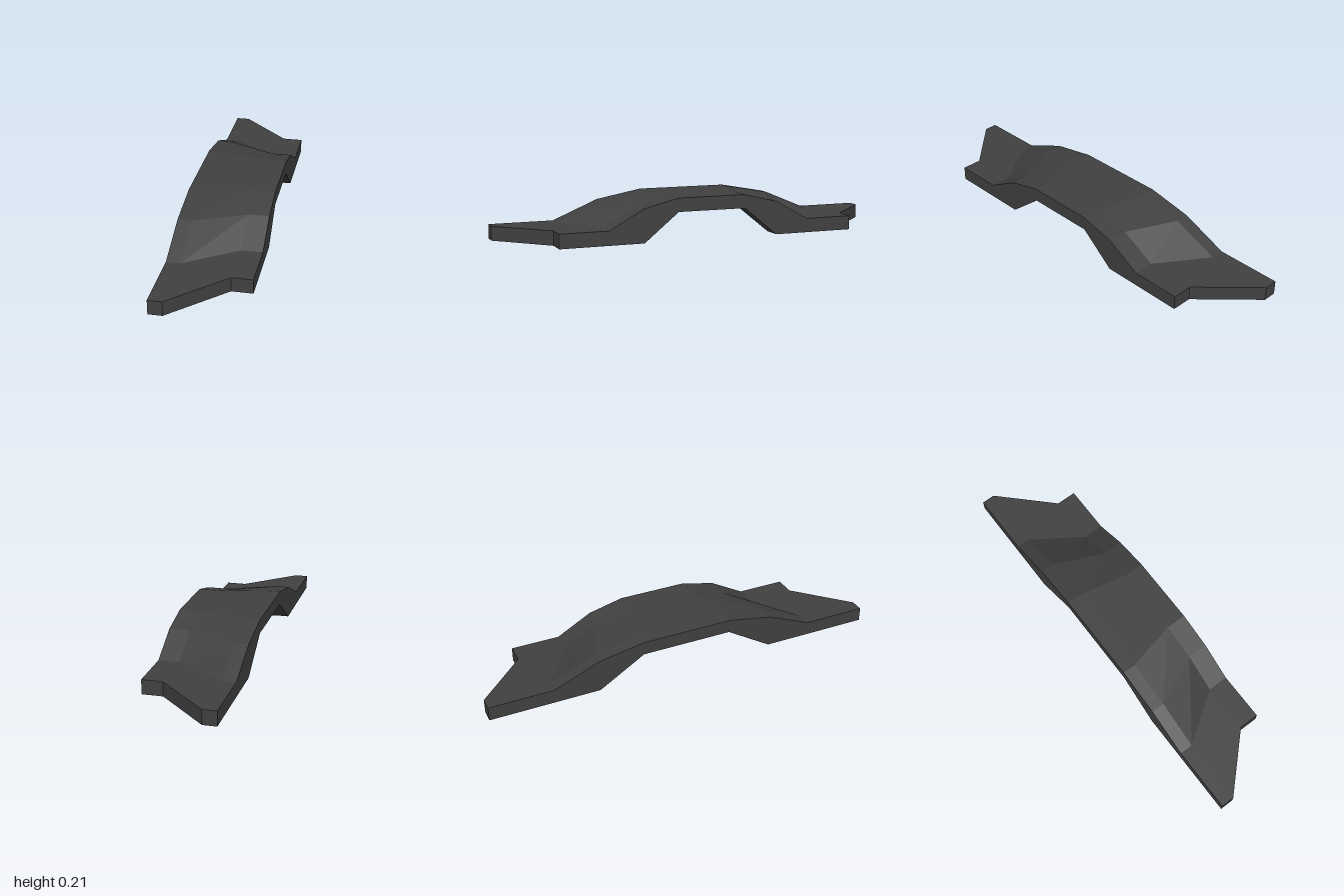
import * as THREE from 'three';

export function createModel() {
  const group = new THREE.Group();
  const charcoal = new THREE.MeshStandardMaterial({ color: 0x404040 });
  charcoal.name = 'charcoal';

  // Half profile from the end to the middle: z, top height, underside height
  const half = [[1, 0.07, 0], [0.682, 0.07, 0], [0.455, 0.165, 0], [0.227, 0.207, 0.14]];
  const full = [...half, ...half.map(([z, t, b]) => [-z, t, b]).reverse()];
  const loop = [
    ...full.map(([z, t]) => [z, t]),
    ...full.map(([z, , b]) => [z, b]).reverse(),
  ];

  // Stations across the width: x and length scale
  const stations = [[-0.206, 1], [-0.14, 1], [0.106, 0.757], [0.206, 0.757]];
  const rings = stations.map(([x, s]) => loop.map(([z, y]) => [x, y, z * s]));

  const positions = [];
  const quad = (a, b, c, d) => positions.push(...a, ...b, ...c, ...a, ...c, ...d);
  const n = loop.length;

  // Skin between neighbouring stations
  for (let i = 0; i < rings.length - 1; i++) {
    for (let j = 0; j < n; j++) {
      const k = (j + 1) % n;
      quad(rings[i][j], rings[i + 1][j], rings[i + 1][k], rings[i][k]);
    }
  }
  // Side walls
  const leftWall = rings[rings.length - 1], rightWall = rings[0];
  for (let k = 0; k < full.length - 1; k++) {
    const b = n - 1 - k;
    quad(leftWall[b], leftWall[b - 1], leftWall[k + 1], leftWall[k]);
    quad(rightWall[k], rightWall[k + 1], rightWall[b - 1], rightWall[b]);
  }

  const geometry = new THREE.BufferGeometry();
  geometry.setAttribute('position', new THREE.Float32BufferAttribute(positions, 3));
  geometry.computeVertexNormals(); // unshared corners keep every face flat
  const plate = new THREE.Mesh(geometry, charcoal);
  plate.name = 'archedPlate';
  group.add(plate);
  return group;
}
